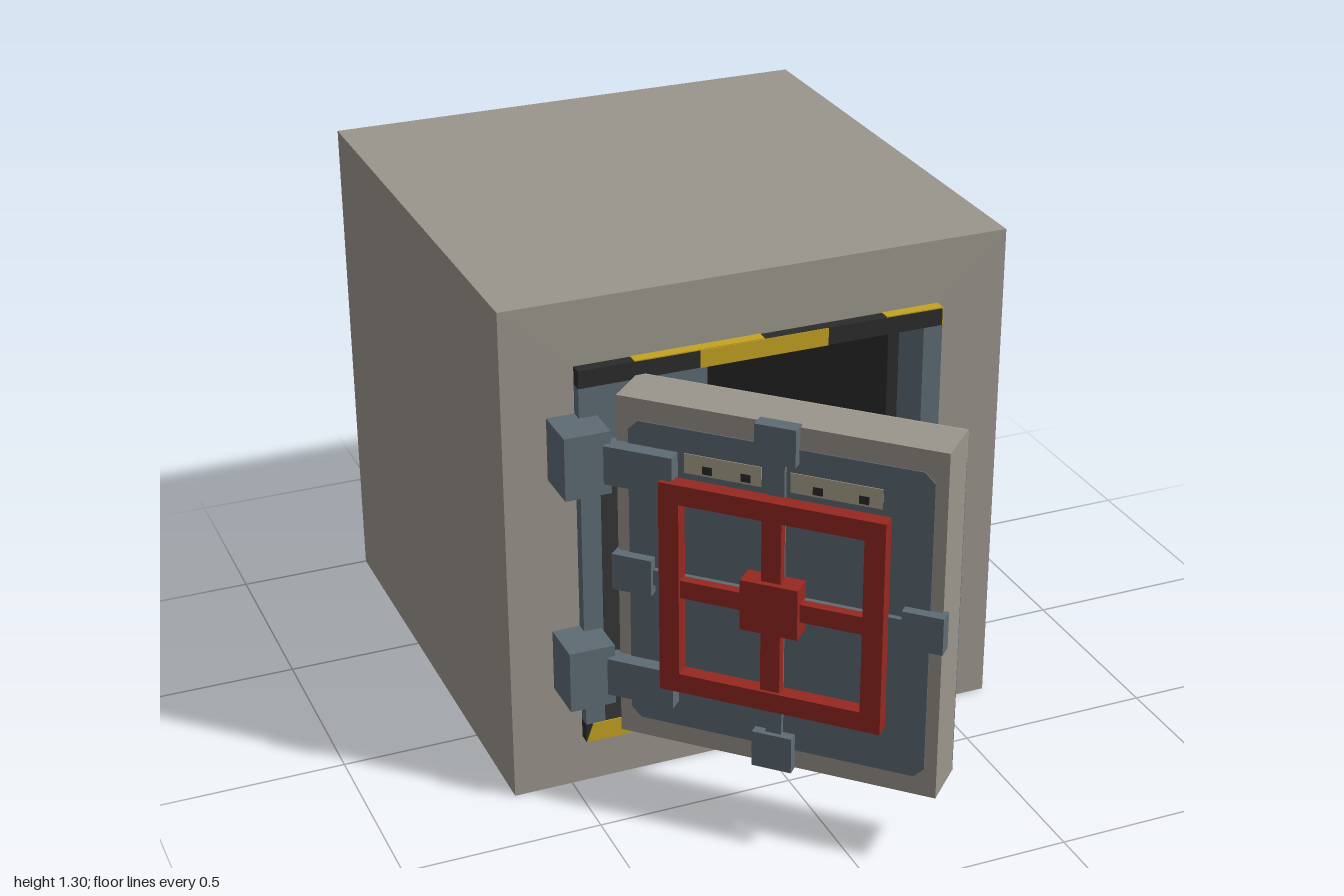
import * as THREE from 'three';

const mat = (name, color) => {
  const m = new THREE.MeshStandardMaterial({ color });
  m.name = name;
  return m;
};

export function createModel() {
  const concrete = mat('concrete grey', 0x9b968c);
  const steel = mat('steel blue', 0x5e6b74);
  const black = mat('near black', 0x2b2b2b);
  const yellow = mat('hazard yellow', 0xc4a221);
  const red = mat('wheel red', 0x962820);
  const cream = mat('worn cream', 0xaba48f);

  const model = new THREE.Group();
  model.name = 'vault';

  const add = (parent, name, geo, material) => {
    const m = new THREE.Mesh(geo, material);
    m.name = name;
    parent.add(m);
    return m;
  };
  // Box given by its limits on each axis
  const box = (parent, name, material, x0, x1, y0, y1, z0, z1) => {
    const m = add(parent, name, new THREE.BoxGeometry(x1 - x0, y1 - y0, z1 - z0), material);
    m.position.set((x0 + x1) / 2, (y0 + y1) / 2, (z0 + z1) / 2);
    return m;
  };
  const corners = (x0, x1, y0, y1) => [[x0, y0], [x1, y0], [x1, y1], [x0, y1]].map(p => new THREE.Vector2(...p));
  // Rectangular tube along z: outer and inner limits, then depth
  const tube = (parent, name, material, outer, inner, z0, z1) => {
    const shape = new THREE.Shape(corners(...outer));
    shape.holes.push(new THREE.Path(corners(...inner)));
    const m = add(parent, name, new THREE.ExtrudeGeometry(shape, { depth: z1 - z0, bevelEnabled: false }), material);
    m.position.z = z0;
    return m;
  };

  // Thick outer walls and the dark lining set inside them
  tube(model, 'outerWalls', concrete, [-0.65, 0.65, 0, 1.3], [-0.47, 0.47, 0.13, 1.135], -1, 0.3);
  tube(model, 'innerLining', black, [-0.42, 0.42, 0.18, 1.09], [-0.39, 0.39, 0.21, 1.06], -0.99, 0.2);

  // Rear panel with a worn strip along its top
  box(model, 'rearPanel', steel, -0.39, 0.39, 0.21, 1.02, -0.97, -0.95);
  box(model, 'rearPanelStrip', cream, -0.39, 0.39, 1.02, 1.06, -0.97, -0.95);
  [0.34, 0.13, -0.08, -0.29].forEach(x =>
    box(model, 'rearPanelMark', black, x - 0.017, x + 0.017, 1.02, 1.06, -0.973, -0.947));

  // Door frame: steel posts, dark head and sill
  for (const s of [-1, 1]) {
    const x = s * 0.445;
    box(model, 'framePost', steel, x - 0.025, x + 0.025, 0.18, 1.09, 0.2, 0.33);
  }
  box(model, 'frameHead', black, -0.47, 0.47, 1.09, 1.135, 0.2, 0.33);
  box(model, 'frameSill', black, -0.47, 0.47, 0.13, 0.18, 0.2, 0.33);

  // Hazard stripes on the frame
  box(model, 'headStripe', yellow, -0.165, 0.165, 1.09, 1.135, 0.329, 0.332);
  box(model, 'headEndStripe', yellow, 0.469, 0.472, 1.09, 1.135, 0.3, 0.33);
  for (const [a, b] of [[-0.33, 0], [0.32, 0.47]])
    box(model, 'headTopStripe', yellow, a, b, 1.134, 1.137, 0.301, 0.33);
  for (const [a, b, lean] of [[-0.47, -0.165, 0.045], [0.165, 0.47, 0]]) {
    const s = new THREE.Shape([[a, 0.13], [b, 0.13], [b + lean, 0.18], [a + lean * 0.4, 0.18]].map(p => new THREE.Vector2(...p)));
    add(model, 'sillStripe', new THREE.ExtrudeGeometry(s, { depth: 0.003, bevelEnabled: false }), yellow).position.z = 0.329;
  }
  const slant = new THREE.Shape([[-0.1, -0.33], [0.19, -0.33], [0.06, -0.2], [-0.26, -0.2]].map(p => new THREE.Vector2(...p)));
  const sillTop = add(model, 'sillTopStripe', new THREE.ShapeGeometry(slant), yellow);
  sillTop.rotation.x = -Math.PI / 2;
  sillTop.position.y = 0.182;

  // Hinge blocks fixed to the wall
  for (const y of [0.365, 0.935])
    box(model, 'hingeBlock', steel, -0.54, -0.425, y - 0.08, y + 0.08, 0.3, 0.42);

  // Open door, swung by 45 degrees
  const door = new THREE.Group();
  door.name = 'door';
  door.position.set(-0.08, 0, 0.648);
  door.rotation.y = -Math.PI / 4;
  model.add(door);
  const F = 0.064;
  box(door, 'doorSlab', concrete, -0.4, 0.4, 0.2, 1.1, -F, F);

  // Inner face of the door
  box(door, 'doorInnerFace', steel, -0.4, 0.4, 0.2, 1.02, -F - 0.003, -F + 0.001);
  box(door, 'doorInnerStrip', cream, -0.4, 0.4, 1.02, 1.1, -F - 0.003, -F + 0.001);
  [[0.26, 0], [0.02, 1], [-0.15, 0], [-0.25, 1], [-0.36, 0]].forEach(([x, up]) =>
    box(door, 'doorInnerMark', black, x - 0.02, x + 0.02, 1.02 + up * 0.04, 1.052 + up * 0.04, -F - 0.005, -F));

  // Painted panel with clipped corners on the outer face
  const c = 0.025, w = 0.37, y0 = 0.25, y1 = 1.045;
  const panel = new THREE.Shape([
    [-w + c, y0], [w - c, y0], [w, y0 + c], [w, y1 - c],
    [w - c, y1], [-w + c, y1], [-w, y1 - c], [-w, y0 + c],
  ].map(p => new THREE.Vector2(...p)));
  add(door, 'doorPanel', new THREE.ExtrudeGeometry(panel, { depth: 0.004, bevelEnabled: false }), steel).position.z = F - 0.001;
  for (const [a, b] of [[-0.23, -0.04], [0.03, 0.25]]) {
    box(door, 'wornPatch', cream, a, b, 0.935, 0.985, F, F + 0.005);
    for (const t of [0.3, 0.8]) {
      const x = a + (b - a) * t;
      box(door, 'wornPatchMark', black, x - 0.012, x + 0.012, 0.94, 0.96, F, F + 0.006);
    }
  }

  // Locking rods with an end block on each side
  box(door, 'verticalRod', steel, -0.02, 0.02, 0.25, 1.05, F, 0.08);
  box(door, 'horizontalRod', steel, -0.36, 0.36, 0.63, 0.67, F, 0.08);
  for (const [x, y] of [[0, 1.057], [0, 0.247], [0.36, 0.652], [-0.355, 0.652]])
    box(door, 'lockBlock', steel, x - 0.05, x + 0.05, y - 0.047, y + 0.047, F - 0.01, 0.092);

  // Hinge straps
  for (const y of [0.367, 0.935])
    box(door, 'hingeStrap', steel, -0.416, -0.246, y - 0.049, y + 0.049, F - 0.01, 0.104);

  // Square hand wheel
  const wheel = new THREE.Group();
  wheel.name = 'handWheel';
  door.add(wheel);
  const r = 0.275, i = 0.225, m = 0.65;
  tube(wheel, 'wheelRim', red, [-r, r, m - r, m + r], [-i, i, m - i, m + i], 0.078, 0.116);
  box(wheel, 'wheelSpokeUpright', red, -0.024, 0.024, m - i, m + i, 0.084, 0.108);
  box(wheel, 'wheelSpokeLevel', red, -i, i, m - 0.023, m + 0.023, 0.084, 0.108);
  box(wheel, 'wheelHub', red, -0.071, 0.071, m - 0.065, m + 0.065, F, 0.122);

  return model;
}
